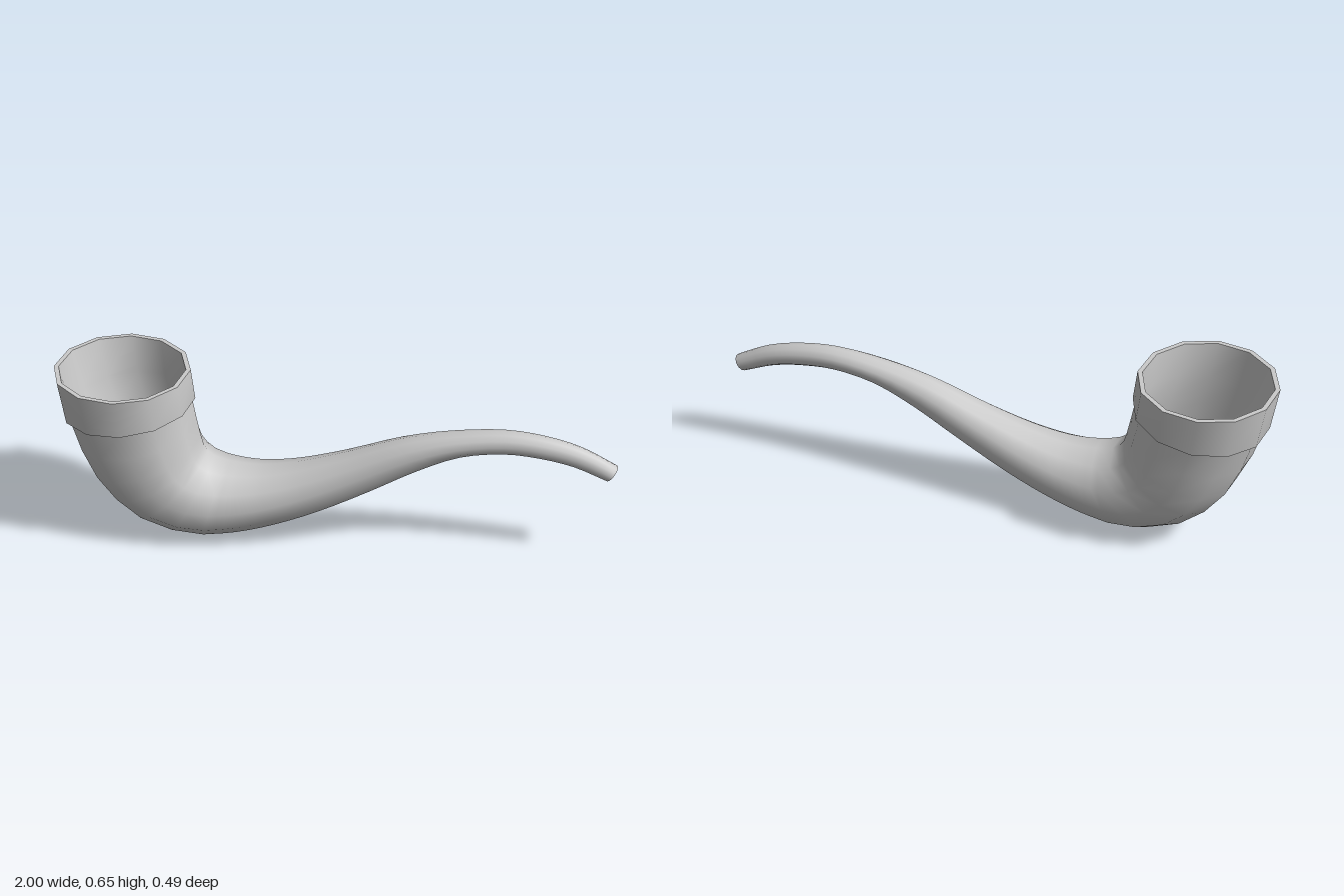
import * as THREE from 'three';

const SIDES = 12;
const TWIST = 0.08;
const material = new THREE.MeshStandardMaterial({ color: 0xcccccc });

// Cross-sections: outer/lower edge x, y, inner/upper edge x, y, half width in z
const BOWL = [
  [-0.965, 0.5, -0.515, 0.54, 0.226],
  [-0.93, 0.37, -0.5, 0.45, 0.219],
  [-0.88, 0.25, -0.488, 0.385, 0.21],
  [-0.81, 0.15, -0.478, 0.345, 0.2],
  [-0.72, 0.07, -0.465, 0.325, 0.192],
  [-0.6, 0.02, -0.44, 0.305, 0.18],
  [-0.48, 0.004, -0.4, 0.293, 0.165],
];
const STEM = [
  [-0.36, 0.02, -0.34, 0.286, 0.148],
  [-0.22, 0.06, -0.26, 0.287, 0.13],
  [-0.05, 0.13, -0.14, 0.31, 0.108],
  [0.13, 0.225, 0.03, 0.365, 0.085],
  [0.3, 0.325, 0.23, 0.44, 0.067],
  [0.45, 0.395, 0.41, 0.482, 0.054],
  [0.6, 0.418, 0.6, 0.503, 0.046],
  [0.72, 0.41, 0.74, 0.49, 0.042],
  [0.84, 0.385, 0.87, 0.455, 0.038],
  [0.96, 0.335, 0.997, 0.39, 0.033],
];

// Shrink a section about its centre
function scaled([lx, ly, ux, uy, w], s) {
  const cx = (lx + ux) / 2, cy = (ly + uy) / 2;
  return [cx + (lx - cx) * s, cy + (ly - cy) * s, cx + (ux - cx) * s, cy + (uy - cy) * s, w * s];
}

// Add in-between sections along smooth curves
function refine(sections, steps) {
  const curve = (a, b, c) => new THREE.CatmullRomCurve3(
    sections.map((s) => new THREE.Vector3(s[a], s[b], c === undefined ? 0 : s[c])));
  const lower = curve(0, 1, 4), upper = curve(2, 3);
  const n = (sections.length - 1) * steps;
  return Array.from({ length: n + 1 }, (_, i) => {
    const p = lower.getPoint(i / n), q = upper.getPoint(i / n);
    return [p.x, p.y, q.x, q.y, p.z];
  });
}

// Smooth skin over a run of sections
function loft(name, sections) {
  const positions = [], index = [];
  sections.forEach(([lx, ly, ux, uy, w], i) => {
    for (let j = 0; j < SIDES; j++) {
      const a = TWIST + (j / SIDES) * Math.PI * 2;
      const c = Math.cos(a) / 2;
      positions.push((lx + ux) / 2 + (lx - ux) * c, (ly + uy) / 2 + (ly - uy) * c, Math.sin(a) * w);
      if (i === sections.length - 1) continue;
      const k = (j + 1) % SIDES, p = i * SIDES, q = p + SIDES;
      index.push(p + j, q + j, p + k, p + k, q + j, q + k);
    }
  });
  const geometry = new THREE.BufferGeometry();
  geometry.setAttribute('position', new THREE.Float32BufferAttribute(positions, 3));
  geometry.setIndex(index);
  geometry.computeVertexNormals();
  const mesh = new THREE.Mesh(geometry, material);
  mesh.name = name;
  return mesh;
}

export function createModel() {
  const pipe = new THREE.Group();
  pipe.name = 'smokingPipe';

  // Bowl and stem in one sweep, closed at the mouthpiece
  const stem = refine([BOWL[6], ...STEM], 3);
  const tip = stem[stem.length - 1];
  pipe.add(loft('bowlAndStem', [...BOWL.slice(0, 6), ...stem]));
  pipe.add(loft('mouthpieceEnd', [tip, scaled(tip, 0)]));

  // Collar with a slanted lower edge and a level top
  const top = [-1, 0.655, -0.515, 0.655, 0.245];
  const bottom = [-0.978, 0.492, -0.503, 0.54, 0.242];
  const innerTop = scaled(top, 0.93);
  const collar = new THREE.Group();
  collar.name = 'collar';
  collar.add(loft('collarSide', [top, bottom, BOWL[0]]));
  collar.add(loft('collarLip', [innerTop, top]));
  pipe.add(collar);

  // Hollow inside of the bowl, following the outer wall
  const hollow = [...BOWL, STEM[0]].map((s) => scaled(s, 0.93));
  const floor = scaled(STEM[1], 0);
  pipe.add(loft('bowlInside', [innerTop, ...hollow, floor].reverse()));

  return pipe;
}
